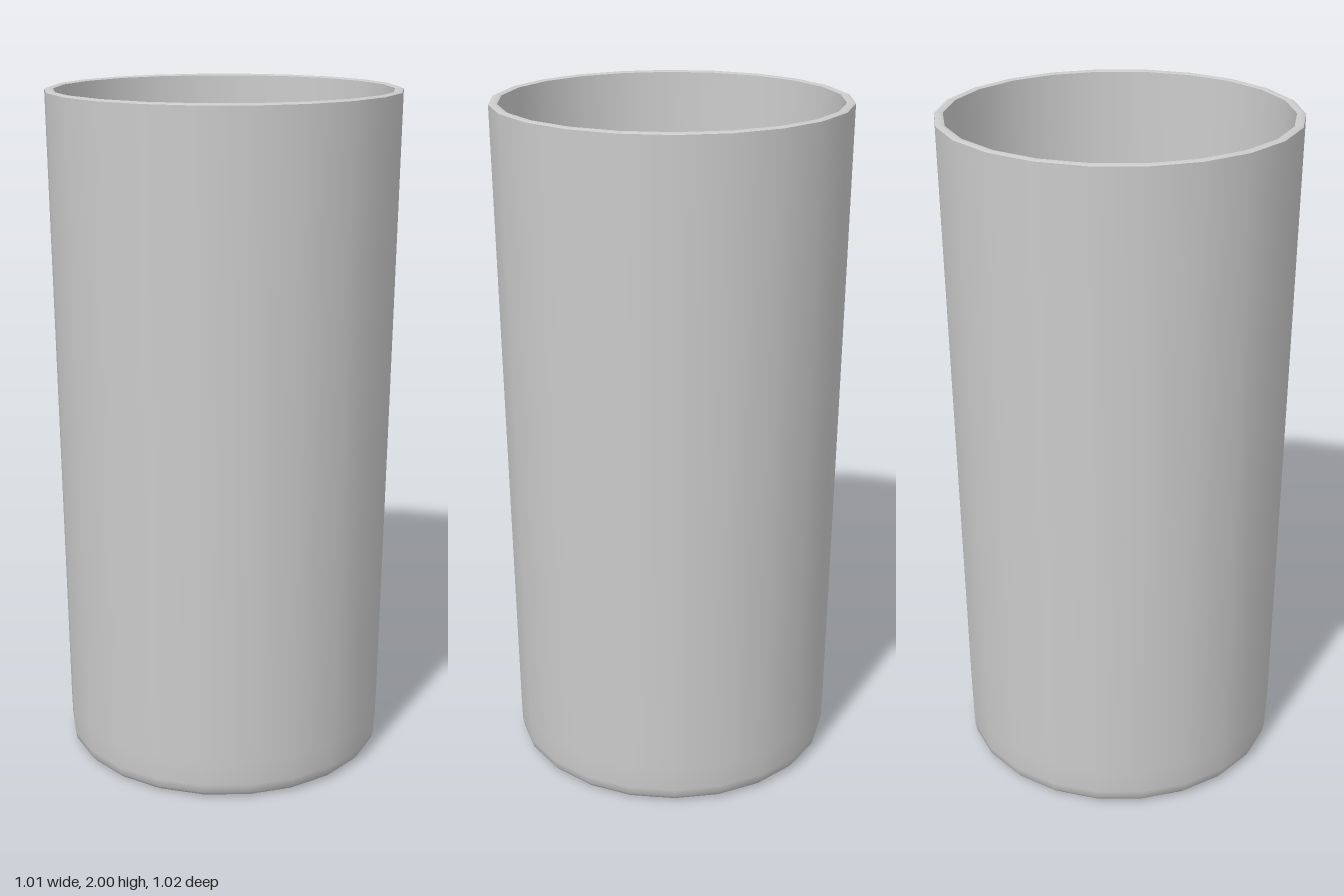
import * as THREE from 'three';

const SIDES = 22;

export function createModel() {
  const group = new THREE.Group();
  group.name = 'tumbler';
  const material = new THREE.MeshStandardMaterial({ color: 0xcccccc });

  // Each profile runs so that its faces point away from the glass wall
  function turned(name, profile) {
    const points = profile.map(([r, y]) => new THREE.Vector2(r, y));
    const mesh = new THREE.Mesh(new THREE.LatheGeometry(points, SIDES), material);
    mesh.name = name;
    group.add(mesh);
  }

  // Flat base, then the tapered outside with a rounded foot
  turned('base', [[0, 0], [0.445, 0]]);
  turned('outerWall', [[0.445, 0], [0.465, 0.006], [0.477, 0.02], [0.482, 0.045], [0.484, 0.12], [0.512, 1.995]]);

  // Thin, slightly crowned rim
  turned('rim', [[0.512, 1.995], [0.5, 2], [0.487, 1.996]]);

  // Inside wall running smoothly into a shallow dished floor
  turned('innerWall', [
    [0.487, 1.996], [0.461, 0.16], [0.45, 0.115], [0.42, 0.088],
    [0.34, 0.066], [0.22, 0.05], [0.1, 0.042], [0, 0.04],
  ]);

  return group;
}
